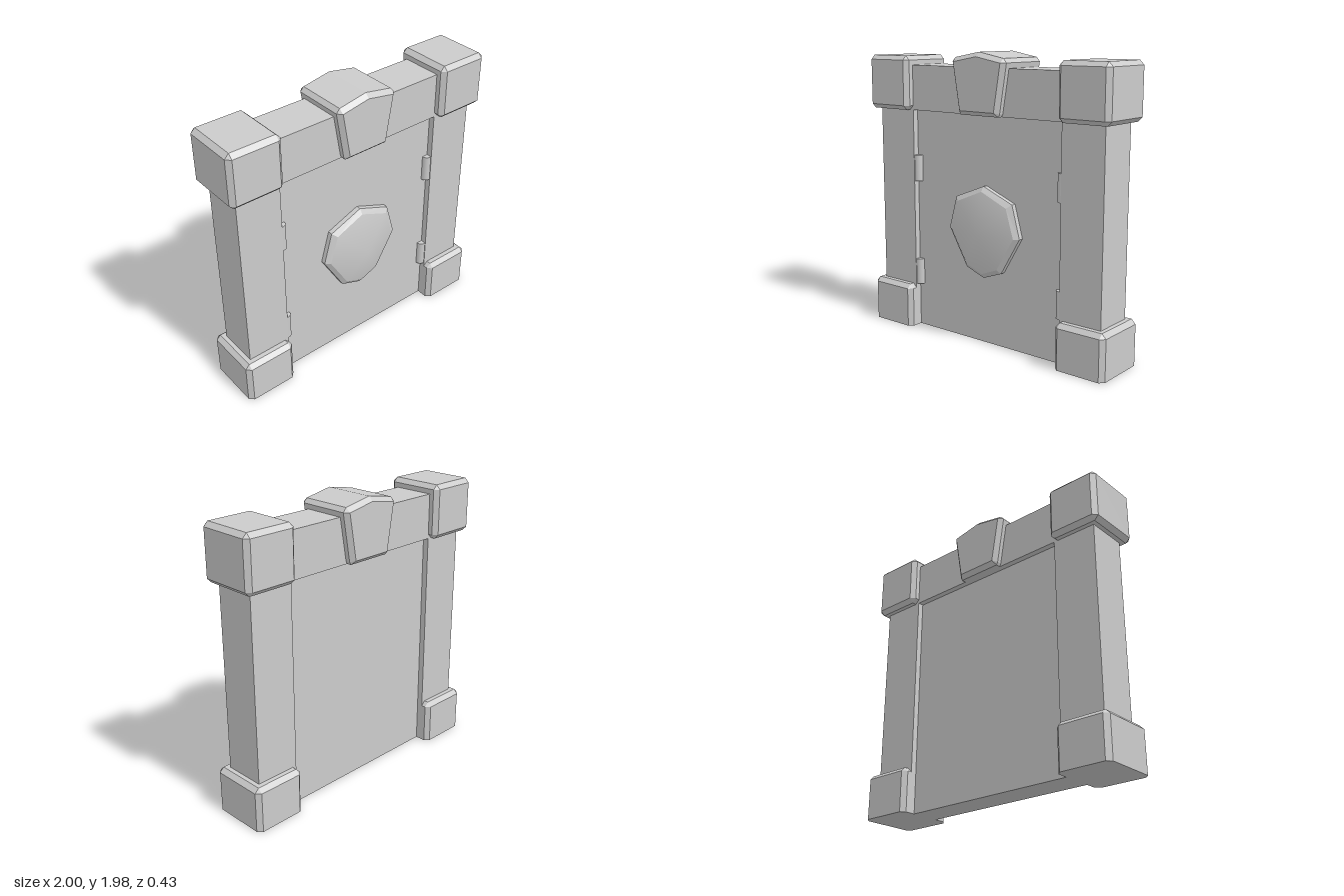
import * as THREE from 'three';
import { ConvexGeometry } from 'three/addons/geometries/ConvexGeometry.js';

const BACK = -0.215, FRONT = 0.197; // depth of the corner blocks and keystone
const CHAMFER = 0.03;

export function createModel() {
  const model = new THREE.Group();
  const stone = new THREE.MeshStandardMaterial({ color: 0xcccccc, flatShading: true });
  const smooth = new THREE.MeshStandardMaterial({ color: 0xcccccc });

  const add = (name, geometry, material = stone) => {
    const mesh = new THREE.Mesh(geometry, material);
    mesh.name = name;
    model.add(mesh);
    return mesh;
  };

  // Plain box given by its limits
  const box = (name, x0, x1, y0, y1, z0, z1) =>
    add(name, new THREE.BoxGeometry(x1 - x0, y1 - y0, z1 - z0))
      .position.set((x0 + x1) / 2, (y0 + y1) / 2, (z0 + z1) / 2);

  // Block with chamfered edges; the bottom edges can stay square
  const chamferedBlock = (name, x0, x1, y0, y1, chamferBottom) => {
    const c = CHAMFER, points = [];
    for (const [x, dx] of [[x0, c], [x1, -c]])
      for (const [z, dz] of [[BACK, c], [FRONT, -c]])
        for (const [y, dy] of [[y0, chamferBottom ? c : 0], [y1, -c]]) {
          points.push(new THREE.Vector3(x, y + dy, z + dz), new THREE.Vector3(x + dx, y + dy, z));
          if (dy) points.push(new THREE.Vector3(x + dx, y, z + dz));
        }
    add(name, new ConvexGeometry(points));
  };

  // Recessed door and the lintel above it
  box('door', -0.63, 0.63, 0, 1.58, -0.112, 0.092);
  box('lintel', -0.64, 0.64, 1.57, 1.88, -0.153, 0.134);

  // Pillars with base and cap blocks, and two hinges on each side
  for (const [side, s] of [['left', 1], ['right', -1]]) {
    const span = (a, b) => (s > 0 ? [a, b] : [-b, -a]);
    box(side + 'Pillar', ...span(0.628, 0.94), 0, 1.6, -0.153, 0.134);
    chamferedBlock(side + 'BaseBlock', ...span(0.628, 1), 0, 0.31, false);
    chamferedBlock(side + 'CapBlock', ...span(0.628, 1), 1.57, 1.943, true);
    for (const [level, y] of [['Lower', 0.405], ['Upper', 1.16]]) {
      add(side + level + 'Hinge', new THREE.CylinderGeometry(0.036, 0.036, 0.185, 16), smooth)
        .position.set(s * 0.62, y, 0.095);
    }
  }

  // Keystone: wedge with a peaked top, all edges chamfered
  const rim = [[0, 1.98], [0.2, 1.943], [0.225, 1.915], [0.17, 1.59], [0.16, 1.57]];
  const face = [[0, 1.95], [0.197, 1.914], [0.143, 1.598]];
  const wedge = [];
  for (const s of [-1, 1]) {
    for (const [x, y] of rim)
      wedge.push(new THREE.Vector3(s * x, y, FRONT - CHAMFER), new THREE.Vector3(s * x, y, BACK + CHAMFER));
    for (const [x, y] of face)
      wedge.push(new THREE.Vector3(s * x, y, FRONT), new THREE.Vector3(s * x, y, BACK));
  }
  // Points on the centre line occur twice; keep one of each
  add('keystone', new ConvexGeometry(wedge.filter((p, i) => !wedge.slice(0, i).some((q) => q.equals(p)))));

  // Boss on the door: faceted rim around a low smooth dome
  const ring = (half, z) => {
    const mirrored = half.slice(1, -1).reverse().map(([x, y]) => [-x, y]);
    // counterclockwise seen from the front
    return [...half, ...mirrored].reverse().map(([x, y]) => [x, y, z]);
  };
  const outer = [[0, 1.1], [0.24, 1.005], [0.302, 0.783], [0.15, 0.525], [0, 0.47]];
  const inner = [[0, 1.067], [0.208, 0.98], [0.268, 0.783], [0.13, 0.552], [0, 0.502]];
  const surface = (rows, tip) => {
    const n = rows[0].length, index = [];
    const points = rows.flat();
    for (let r = 0; r < rows.length - 1; r++)
      for (let i = 0; i < n; i++) {
        const a = r * n + i, b = r * n + (i + 1) % n;
        index.push(a, b, b + n, a, b + n, a + n);
      }
    if (tip) {
      const last = (rows.length - 1) * n;
      for (let i = 0; i < n; i++) index.push(last + i, last + (i + 1) % n, points.length);
      points.push(tip);
    }
    const geometry = new THREE.BufferGeometry();
    geometry.setAttribute('position', new THREE.Float32BufferAttribute(points.flat(), 3));
    geometry.setIndex(index);
    geometry.computeVertexNormals();
    return geometry;
  };
  add('bossRim', surface([ring(outer, 0.08), ring(outer, 0.125), ring(inner, 0.15)]));
  add('bossDome', surface([ring(inner, 0.15)], [0, 0.783, 0.215]), smooth);

  return model;
}
